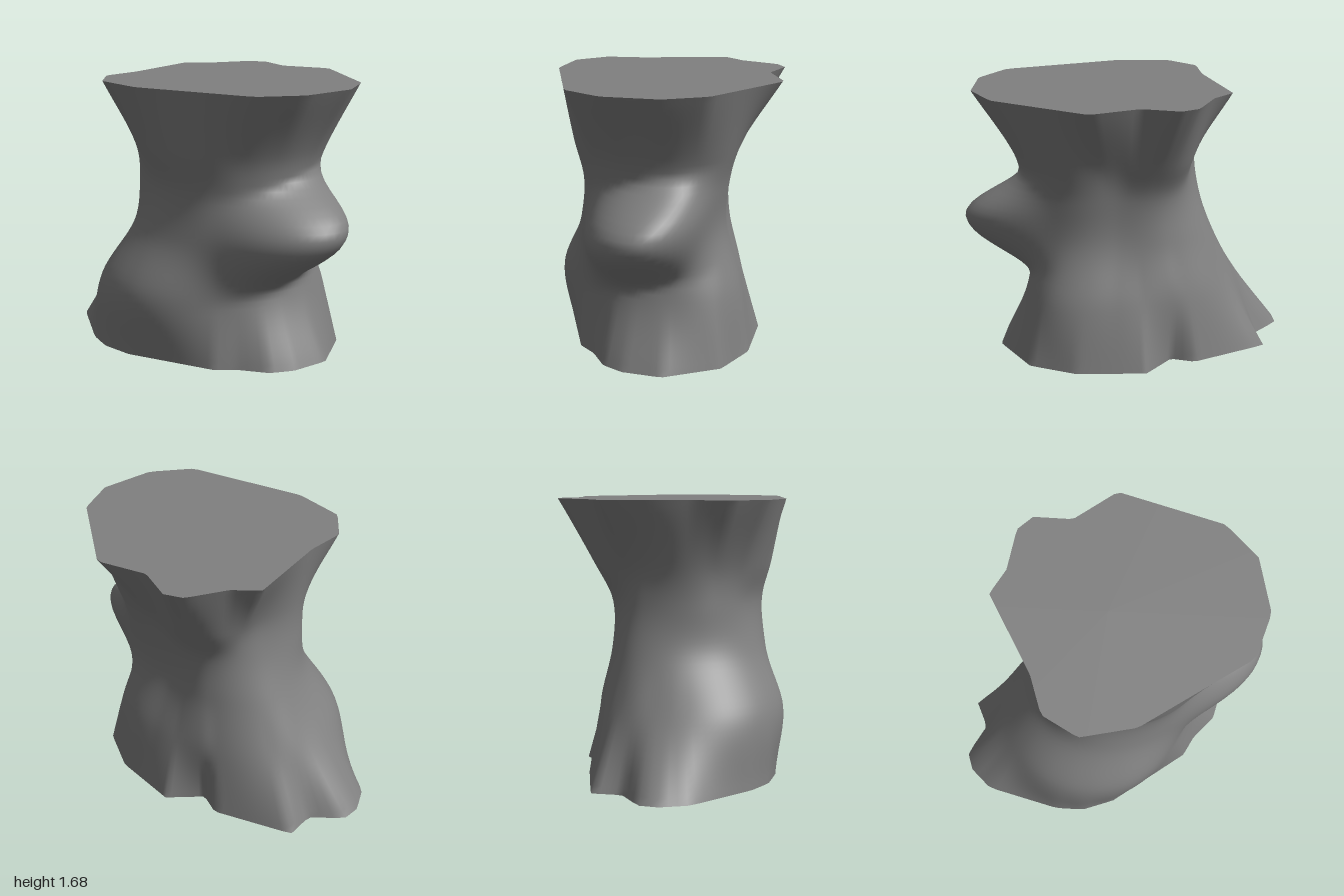
import * as THREE from 'three';

const TAU = Math.PI * 2;
const wrap = (a) => ((a % TAU) + TAU) % TAU;

// Ragged edges of the two cut faces (x, z)
const baseEdge = [[0.78, 0.05], [0.72, 0.19], [0.57, 0.31], [0.48, 0.43], [-0.04, 0.7], [-0.25, 0.74], [-0.43, 0.71],
  [-0.87, 0.52], [-0.98, 0.38], [-1, 0.26], [-0.86, 0.08], [-0.91, -0.1], [-0.47, -0.37], [-0.32, -0.34],
  [-0.18, -0.55], [0.25, -0.59], [0.55, -0.5], [0.78, -0.2]];
const topEdge = [[0.92, 0.11], [0.79, 0.37], [0.09, 0.7], [-0.24, 0.72], [-0.43, 0.57], [-0.47, 0.33], [-0.66, -0.18],
  [-0.55, -0.32], [-0.47, -0.57], [-0.37, -0.64], [-0.14, -0.6], [0.14, -0.75], [0.74, -0.47], [0.9, -0.24]];

// Distance from the axis to a straight-sided edge in direction a
function edgeRadius(pts, a) {
  for (let i = 0; i < pts.length; i++) {
    const [x1, z1] = pts[i], [x2, z2] = pts[(i + 1) % pts.length];
    const a1 = Math.atan2(z1, x1);
    const span = wrap(Math.atan2(z2, x2) - a1), d = wrap(a - a1);
    if (d > span) continue;
    const r1 = Math.hypot(x1, z1), r2 = Math.hypot(x2, z2);
    return r1 * r2 * Math.sin(span) / (r1 * Math.sin(d) + r2 * Math.sin(span - d));
  }
  return 0.6;
}

// Smooth closed curve through eight radii spaced 45 degrees apart
function roundRadius(radii, a) {
  const f = wrap(a) / TAU * 8, i = Math.floor(f), t = f - i;
  const [p, q, r, s] = [7, 0, 1, 2].map((k) => radii[(i + k) % 8]);
  return q + 0.5 * t * (r - p + t * (2 * p - 5 * q + 4 * r - s + t * (3 * (q - r) + s - p)));
}

// Trunk sections at rising heights
const sections = [
  { y: 0, radius: (a) => edgeRadius(baseEdge, a) },
  { y: 0.4, radius: (a) => roundRadius([0.61, 0.59, 0.72, 0.78, 0.7, 0.5, 0.48, 0.64], a) },
  { y: 0.76, radius: (a) => roundRadius([0.6, 0.57, 0.555, 0.56, 0.54, 0.42, 0.375, 0.53], a) },
  { y: 1.05, radius: (a) => roundRadius([0.64, 0.57, 0.5, 0.52, 0.44, 0.41, 0.39, 0.56], a) },
  { y: 1.28, radius: (a) => roundRadius([0.69, 0.62, 0.565, 0.53, 0.43, 0.52, 0.46, 0.64], a) },
  { y: 1.68, radius: (a) => edgeRadius(topEdge, a) },
];

// Smooth blend through the section radii at height y
function blend(radii, y) {
  const n = sections.length;
  let i = 0;
  while (i < n - 2 && y > sections[i + 1].y) i++;
  const slope = (k) => {
    const lo = Math.max(0, k - 1), hi = Math.min(n - 1, k + 1);
    return (radii[hi] - radii[lo]) / (sections[hi].y - sections[lo].y);
  };
  const h = sections[i + 1].y - sections[i].y, t = (y - sections[i].y) / h;
  const t2 = t * t, t3 = t2 * t;
  return (2 * t3 - 3 * t2 + 1) * radii[i] + (t3 - 2 * t2 + t) * h * slope(i)
    + (3 * t2 - 2 * t3) * radii[i + 1] + (t3 - t2) * h * slope(i + 1);
}

// Blunt branch stub swelling out of the +x side, drooping towards the front
function stub(a, y) {
  const da = wrap(a + 0.1 + Math.PI) - Math.PI;
  const across = Math.exp(-((da / (da > 0 ? 0.55 : 0.42)) ** 2));
  const dy = y - 0.84 + 0.13 * da;
  const up = Math.min(1, Math.abs(dy) / (dy > 0 ? 0.3 : 0.37));
  return 0.4 * across * Math.cos(up * Math.PI / 2) ** 1.4;
}

function meshFrom(name, positions, index, material) {
  const geometry = new THREE.BufferGeometry();
  geometry.setAttribute('position', new THREE.Float32BufferAttribute(positions, 3));
  geometry.setIndex(index);
  geometry.computeVertexNormals();
  const mesh = new THREE.Mesh(geometry, material);
  mesh.name = name;
  return mesh;
}

export function createModel() {
  const group = new THREE.Group();
  group.name = 'stump';
  const grey = new THREE.MeshStandardMaterial({ color: 0x808080 });
  grey.name = 'stone grey';

  const SIDES = 120, ROWS = 42, HEIGHT = 1.68;
  const positions = [], index = [];
  const directions = Array.from({ length: SIDES }, (_, j) => {
    const a = j / SIDES * TAU;
    return { a, radii: sections.map((s) => s.radius(a)) };
  });

  // Trunk side
  for (let i = 0; i <= ROWS; i++) {
    const y = HEIGHT * i / ROWS;
    for (const { a, radii } of directions) {
      const r = blend(radii, y) + stub(a, y);
      positions.push(Math.cos(a) * r, y, Math.sin(a) * r);
    }
  }
  for (let i = 0; i < ROWS; i++) {
    for (let j = 0; j < SIDES; j++) {
      const a = i * SIDES + j, b = i * SIDES + (j + 1) % SIDES;
      index.push(a, a + SIDES, b, b, a + SIDES, b + SIDES);
    }
  }
  group.add(meshFrom('trunk', positions, index, grey));

  // Flat cut faces
  const cap = (name, row, up) => {
    const ring = positions.slice(row * SIDES * 3, (row + 1) * SIDES * 3);
    const faces = [];
    for (let j = 0; j < SIDES; j++) {
      const k = (j + 1) % SIDES;
      faces.push(SIDES, up ? k : j, up ? j : k);
    }
    group.add(meshFrom(name, [...ring, 0, ring[1], 0], faces, grey));
  };
  cap('topFace', ROWS, true);
  cap('baseFace', 0, false);
  return group;
}
